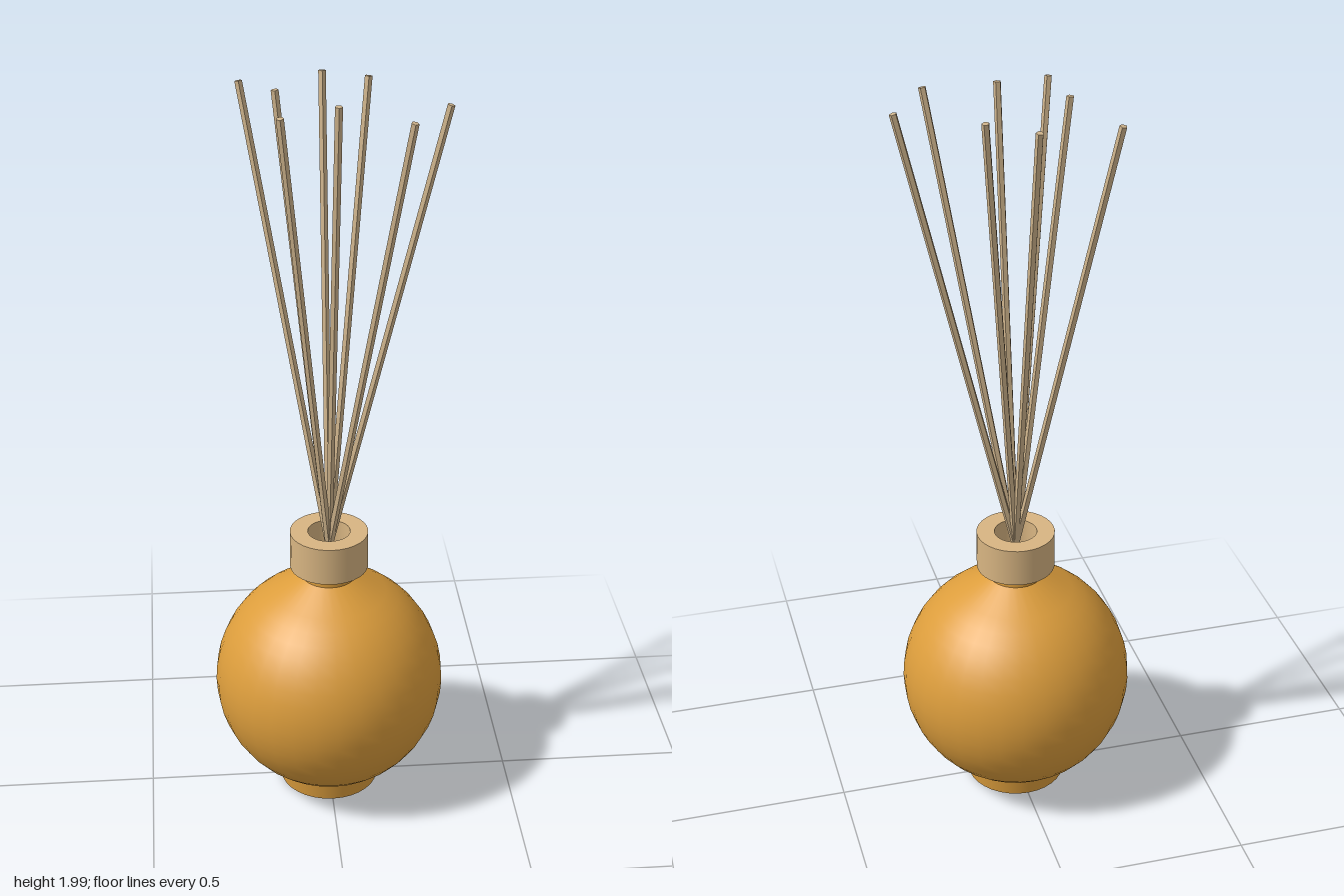
import * as THREE from 'three';
import { mergeGeometries } from 'three/addons/utils/BufferGeometryUtils.js';

const SEG = 32;

function material(name, color, side = THREE.FrontSide) {
  const m = new THREE.MeshStandardMaterial({ color, side });
  m.name = name;
  return m;
}

// Revolved profile with a hard edge at every profile corner
function sharpLathe(profile) {
  const bands = [];
  for (let i = 0; i < profile.length - 1; i++) {
    const pair = [profile[i], profile[i + 1]].map(([r, y]) => new THREE.Vector2(r, y));
    bands.push(new THREE.LatheGeometry(pair, SEG));
  }
  return mergeGeometries(bands);
}

export function createModel() {
  const model = new THREE.Group();
  model.name = 'reedDiffuser';
  const amber = material('amberGlass', 0xdc9d3c, THREE.DoubleSide);
  const wood = material('paleWood', 0xd8b582);
  const reed = material('reedWood', 0xcfb48c);
  reed.flatShading = true;

  function add(name, geometry, mat, parent = model) {
    const mesh = new THREE.Mesh(geometry, mat);
    mesh.name = name;
    parent.add(mesh);
    return mesh;
  }

  // Round bottle: sphere profile finished by a straight shoulder
  const R = 0.312, CY = 0.33;
  const profile = [];
  for (let i = 0; i <= 20; i++) {
    const a = -Math.PI / 2 + (i / 20) * (Math.PI / 2 + 1.05);
    profile.push(new THREE.Vector2(Math.max(0, R * Math.cos(a)), CY + R * Math.sin(a)));
  }
  profile.push(new THREE.Vector2(0.072, 0.65));
  add('bottleBody', new THREE.LatheGeometry(profile, SEG), amber);

  // Foot and open neck
  add('bottleFoot', sharpLathe([[0, 0], [0.135, 0], [0.142, 0.05], [0.125, 0.052]]), amber);
  add('bottleNeck', sharpLathe([[0.072, 0.645], [0.072, 0.69]]), amber);

  // Wooden ring around the mouth
  add('collar', sharpLathe([
    [0.057, 0.68], [0.105, 0.68], [0.105, 0.785], [0.057, 0.785], [0.057, 0.68],
  ]), wood);

  // Reeds fan out from one crossing point in the mouth
  const reeds = new THREE.Group();
  reeds.name = 'reeds';
  model.add(reeds);
  const pivot = new THREE.Vector3(0, 0.74, 0);
  const above = 1.26, below = 0.36;
  const tips = [
    [-0.21, -0.187], [0, -0.215], [0.109, -0.139], [0.29, 0.04],
    [0.185, 0.192], [0.013, 0.124], [-0.128, 0.166], [-0.129, -0.023],
  ];
  const reedGeometry = new THREE.CylinderGeometry(0.01, 0.01, above + below, 5);
  reedGeometry.translate(0, (above - below) / 2, 0);
  tips.forEach(([x, z], i) => {
    const dir = new THREE.Vector3(x, Math.sqrt(above * above - x * x - z * z), z).normalize();
    const mesh = add(`reed${i + 1}`, reedGeometry, reed, reeds);
    mesh.position.copy(pivot);
    mesh.quaternion.setFromUnitVectors(new THREE.Vector3(0, 1, 0), dir);
  });

  return model;
}
